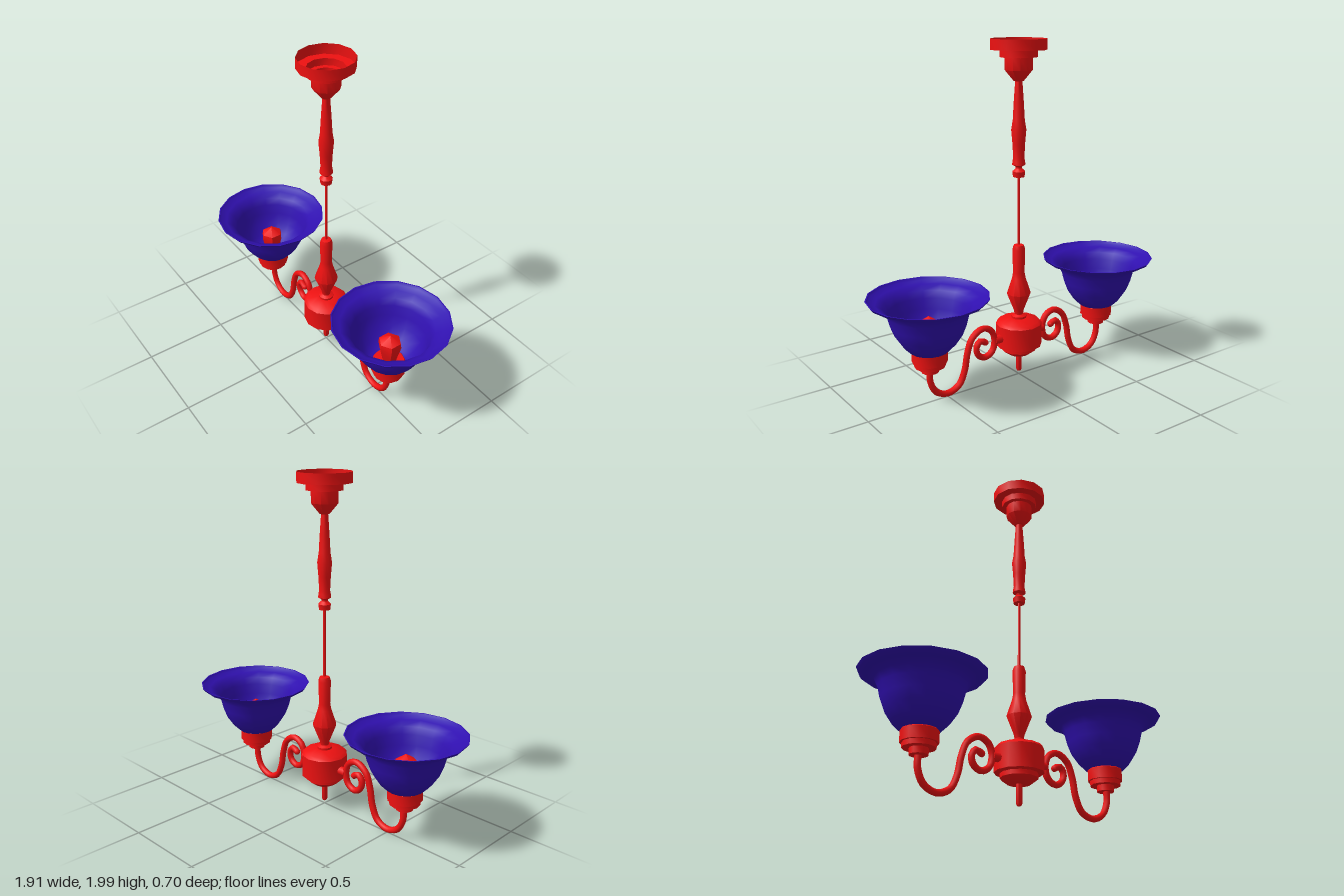
import * as THREE from 'three';
import { toCreasedNormals } from 'three/addons/utils/BufferGeometryUtils.js';

const red = new THREE.MeshStandardMaterial({ color: 0xee1111, side: THREE.DoubleSide });
const blue = new THREE.MeshStandardMaterial({ color: 0x3010b0, side: THREE.DoubleSide });

// Turned part from [radius, height] pairs, listed bottom to top
function turned(name, profile, sides, material = red, crease = 0.7) {
  const points = profile.map(([r, y]) => new THREE.Vector2(r, y));
  const geometry = toCreasedNormals(new THREE.LatheGeometry(points, sides), crease);
  const mesh = new THREE.Mesh(geometry, material);
  mesh.name = name;
  return mesh;
}

function createArm(name) {
  const arm = new THREE.Group();
  arm.name = name;

  // Scrolled tube: from the lamp holder, under, over and into the spiral
  const path = [
    [0.615, 0.22], [0.612, 0.13], [0.575, 0.06], [0.5, 0.03], [0.425, 0.06],
    [0.385, 0.14], [0.365, 0.24], [0.33, 0.325], [0.26, 0.365], [0.2, 0.34],
    [0.176, 0.275], [0.193, 0.21], [0.245, 0.183], [0.292, 0.21], [0.302, 0.26],
    [0.275, 0.292], [0.24, 0.275],
  ].map(([x, y]) => new THREE.Vector3(x, y, 0));
  const scroll = new THREE.Mesh(
    new THREE.TubeGeometry(new THREE.CatmullRomCurve3(path), 56, 0.019, 8), red);
  scroll.name = 'scrollArm';
  arm.add(scroll);

  // Flat cap on the free end of the spiral
  const cap = new THREE.Mesh(new THREE.SphereGeometry(0.019, 8, 6), red);
  cap.name = 'scrollTip';
  cap.position.copy(path[path.length - 1]);
  arm.add(cap);

  // Short peg joining the scroll to the hub
  const peg = new THREE.Mesh(new THREE.CylinderGeometry(0.026, 0.026, 0.06, 8), red);
  peg.name = 'armJoint';
  peg.rotation.z = Math.PI / 2;
  peg.position.set(0.145, 0.272, 0);
  arm.add(peg);

  // Holder, glass shade and bulb
  const lamp = new THREE.Group();
  lamp.name = 'lamp';
  lamp.position.set(0.615, 0, -0.006);
  lamp.add(
    turned('lampHolder', [
      [0, 0.2], [0.05, 0.2], [0.05, 0.235], [0.088, 0.235], [0.088, 0.262],
      [0.1, 0.262], [0.1, 0.325], [0.09, 0.335], [0, 0.335],
    ], 12),
    turned('shade', [
      [0, 0.33], [0.11, 0.33], [0.15, 0.37], [0.19, 0.43], [0.213, 0.49],
      [0.228, 0.55], [0.25, 0.59], [0.29, 0.615], [0.33, 0.625], [0.342, 0.642],
      [0.335, 0.642],
    ], 16, blue, 0.9),
    turned('bulb', [[0.04, 0.33], [0.05, 0.38], [0.07, 0.46], [0.065, 0.49], [0, 0.53]], 6),
  );
  arm.add(lamp);
  return arm;
}

export function createModel() {
  const model = new THREE.Group();
  model.name = 'chandelier';

  model.add(
    // Hollow ceiling cup, open at the top
    turned('ceilingCanopy', [
      [0, 1.77], [0.028, 1.77], [0.078, 1.83], [0.078, 1.9], [0.106, 1.9],
      [0.106, 1.94], [0.158, 1.94], [0.158, 2],
    ], 12),
    // Upper turned stem with beads at its foot
    turned('upperStem', [
      [0, 1.23], [0.033, 1.23], [0.037, 1.262], [0.018, 1.28], [0.02, 1.29],
      [0.038, 1.3], [0.036, 1.32], [0.032, 1.34], [0.036, 1.42], [0.043, 1.5],
      [0.034, 1.555], [0.028, 1.66], [0.02, 1.775], [0, 1.775],
    ], 12),
    turned('rod', [[0.008, 0.8], [0.008, 1.24]], 8),
    // Lower turned column
    turned('lowerColumn', [
      [0.045, 0.37], [0.045, 0.39], [0.025, 0.4], [0.03, 0.425], [0.071, 0.53],
      [0.04, 0.625], [0.034, 0.66], [0.038, 0.8], [0.03, 0.825], [0, 0.832],
    ], 12),
    // Central hub that carries the arms
    turned('hub', [
      [0, 0.15], [0.065, 0.15], [0.105, 0.18], [0.105, 0.205], [0.137, 0.21],
      [0.137, 0.345], [0.12, 0.362], [0.05, 0.378], [0, 0.378],
    ], 12),
    turned('finial', [[0, 0.03], [0.012, 0.034], [0.017, 0.045], [0.017, 0.16]], 8),
  );

  // Two opposite arms
  for (const [name, angle] of [['leftArm', 0], ['rightArm', Math.PI]]) {
    const arm = createArm(name);
    arm.rotation.y = angle;
    model.add(arm);
  }
  return model;
}
